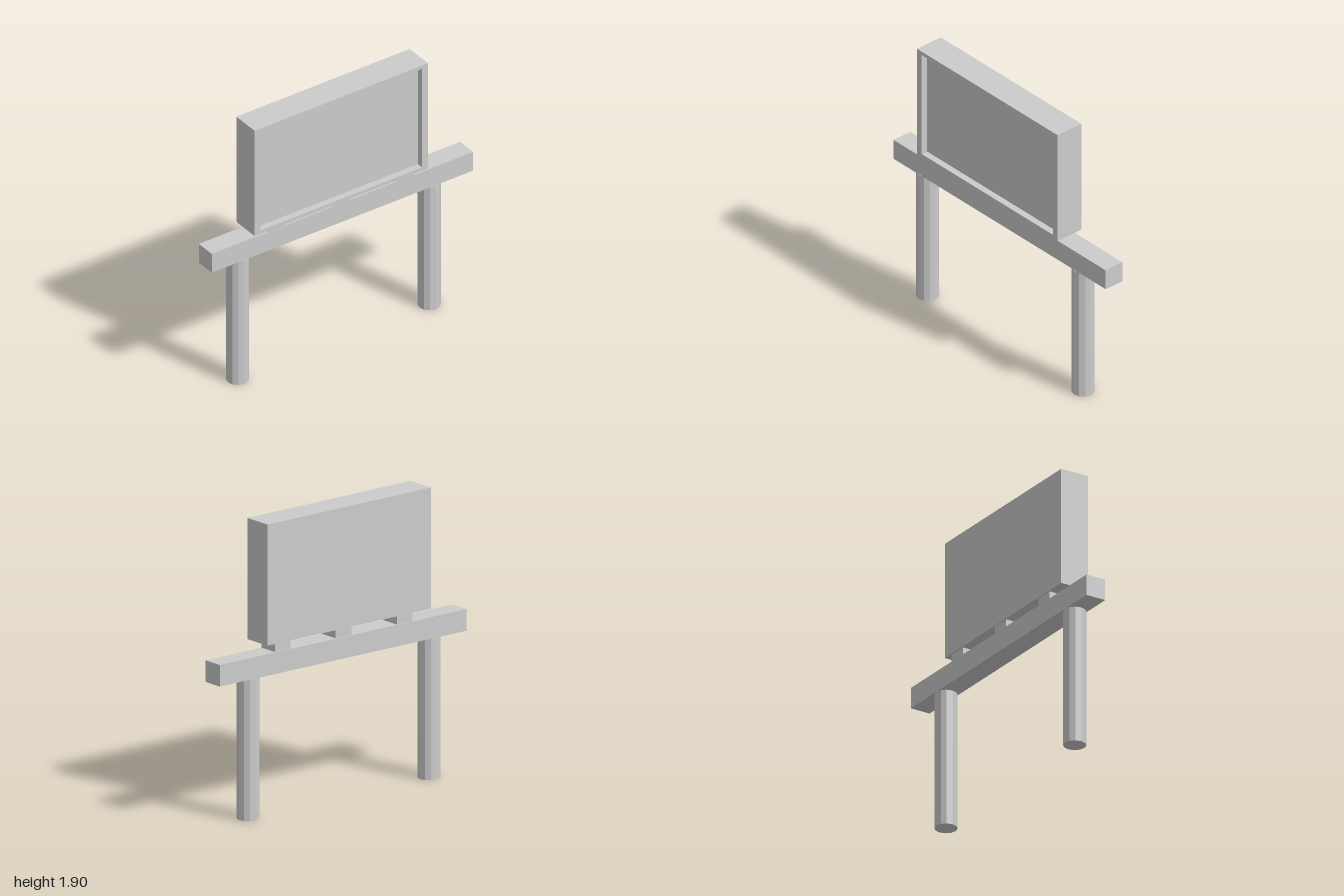
import * as THREE from 'three';

export function createModel() {
  const group = new THREE.Group();
  group.name = 'billboard';
  const grey = new THREE.MeshStandardMaterial({ color: 0xcccccc, flatShading: true });
  grey.name = 'light grey';

  const add = (name, geometry) => {
    const mesh = new THREE.Mesh(geometry, grey);
    mesh.name = name;
    group.add(mesh);
    return mesh;
  };
  // Box given by its lower and upper limits on each axis
  const box = (name, [x0, x1], [y0, y1], [z0, z1]) =>
    add(name, new THREE.BoxGeometry(x1 - x0, y1 - y0, z1 - z0))
      .position.set((x0 + x1) / 2, (y0 + y1) / 2, (z0 + z1) / 2);

  // Round posts
  for (const z of [0.755, -0.71]) {
    add('post', new THREE.CylinderGeometry(0.073, 0.073, 0.92, 12)).position.set(-0.027, 0.46, z);
  }

  // Cross beam and the blocks that carry the board
  box('beam', [-0.1, 0.04], [0.92, 1.06], [-1, 1]);
  for (const z of [0.505, 0.01, -0.483]) {
    box('spacerBlock', [-0.092, 0.04], [1.06, 1.115], [z - 0.064, z + 0.064]);
  }

  // Board with a raised rim around its recessed face on the +x side
  const depth = 0.045;
  box('board', [-0.1, 0.098 - depth], [1.115, 1.9], [-0.613, 0.713]);
  const rectangle = (PathType, z0, z1, y0, y1) =>
    new PathType([[-z1, y0], [-z0, y0], [-z0, y1], [-z1, y1]].map(p => new THREE.Vector2(...p)));
  const rim = rectangle(THREE.Shape, -0.613, 0.713, 1.115, 1.9);
  rim.holes.push(rectangle(THREE.Path, -0.568, 0.668, 1.14, 1.875));
  const rimGeometry = new THREE.ExtrudeGeometry(rim, { depth, bevelEnabled: false });
  rimGeometry.rotateY(Math.PI / 2);
  add('boardRim', rimGeometry).position.x = 0.098 - depth;

  return group;
}
